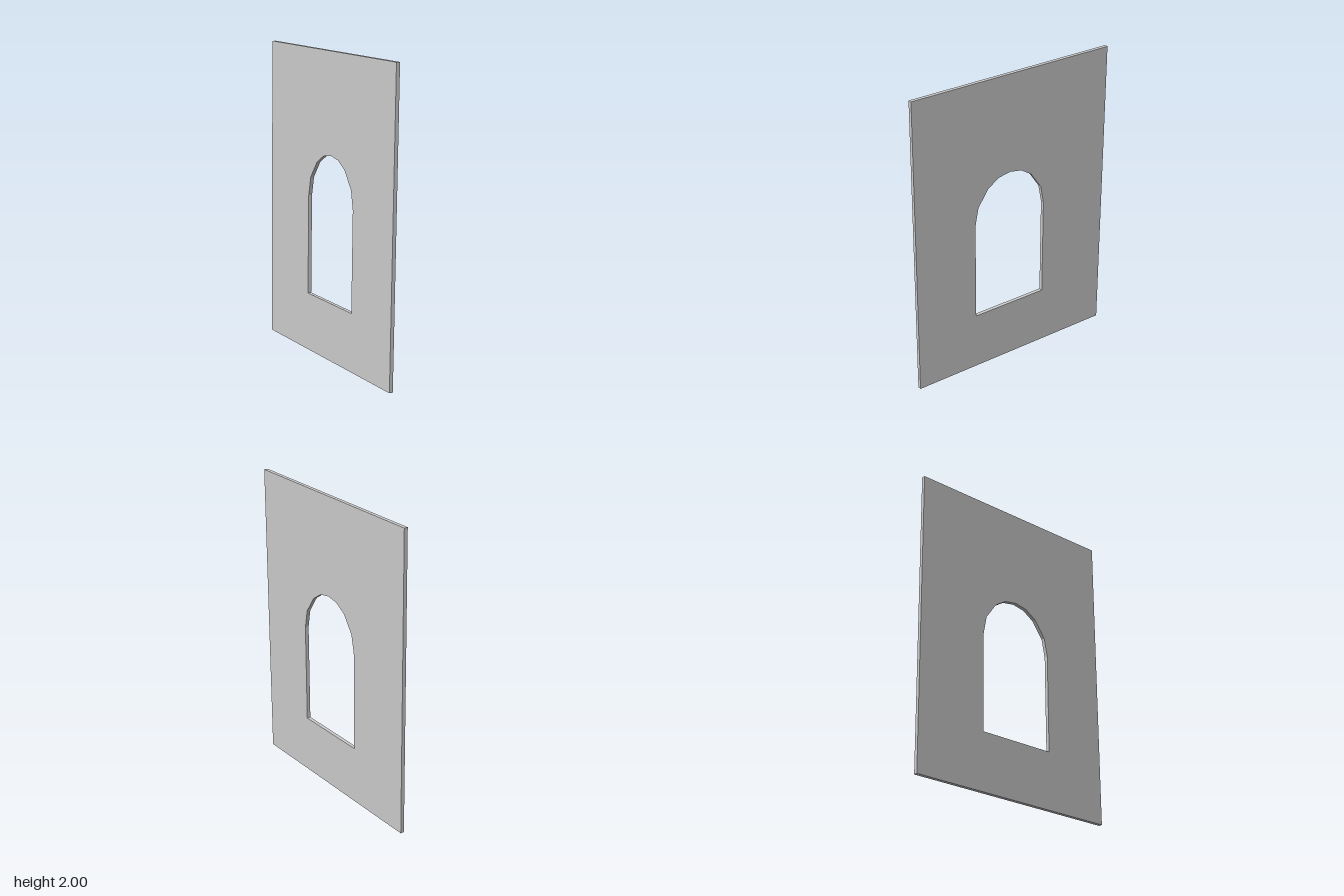
import * as THREE from 'three';

const WIDTH = 1.464, HEIGHT = 1.997, THICK = 0.025;

// Round-headed opening: straight jambs below a faceted arch
function archedOpening(centre, half, sill, spring, rise) {
  const quarter = [[1, 0], [0.91, 0.41], [0.62, 0.78], [0.32, 0.95]];
  const right = quarter.map(([x, y]) => [x * half, spring + y * rise]);
  const left = right.map(([x, y]) => [-x, y]).reverse();
  const outline = [[-half, sill], [half, sill], ...right, [0, spring + rise], ...left];
  return new THREE.Path(outline.map(([x, y]) => new THREE.Vector2(centre + x, y)));
}

export function createModel() {
  const model = new THREE.Group();
  model.name = 'archedWall';

  // Flat slab pierced by the opening
  const shape = new THREE.Shape([
    new THREE.Vector2(-WIDTH / 2, 0), new THREE.Vector2(WIDTH / 2, 0),
    new THREE.Vector2(WIDTH / 2, HEIGHT), new THREE.Vector2(-WIDTH / 2, HEIGHT),
  ]);
  shape.holes.push(archedOpening(0.024, 0.267, 0.385, 1.043, 0.3));
  const geometry = new THREE.ExtrudeGeometry(shape, { depth: THICK, bevelEnabled: false });
  geometry.translate(0, -HEIGHT / 2, -THICK / 2);

  const wall = new THREE.Mesh(geometry,
    new THREE.MeshStandardMaterial({ color: 0xcccccc, flatShading: true }));
  wall.name = 'wallPanel';

  // Turned diagonally, with a slight backward lean and roll
  wall.rotation.set(-0.0115, -Math.PI / 4, -0.002, 'YXZ');
  wall.position.y = 1;
  model.add(wall);
  return model;
}
